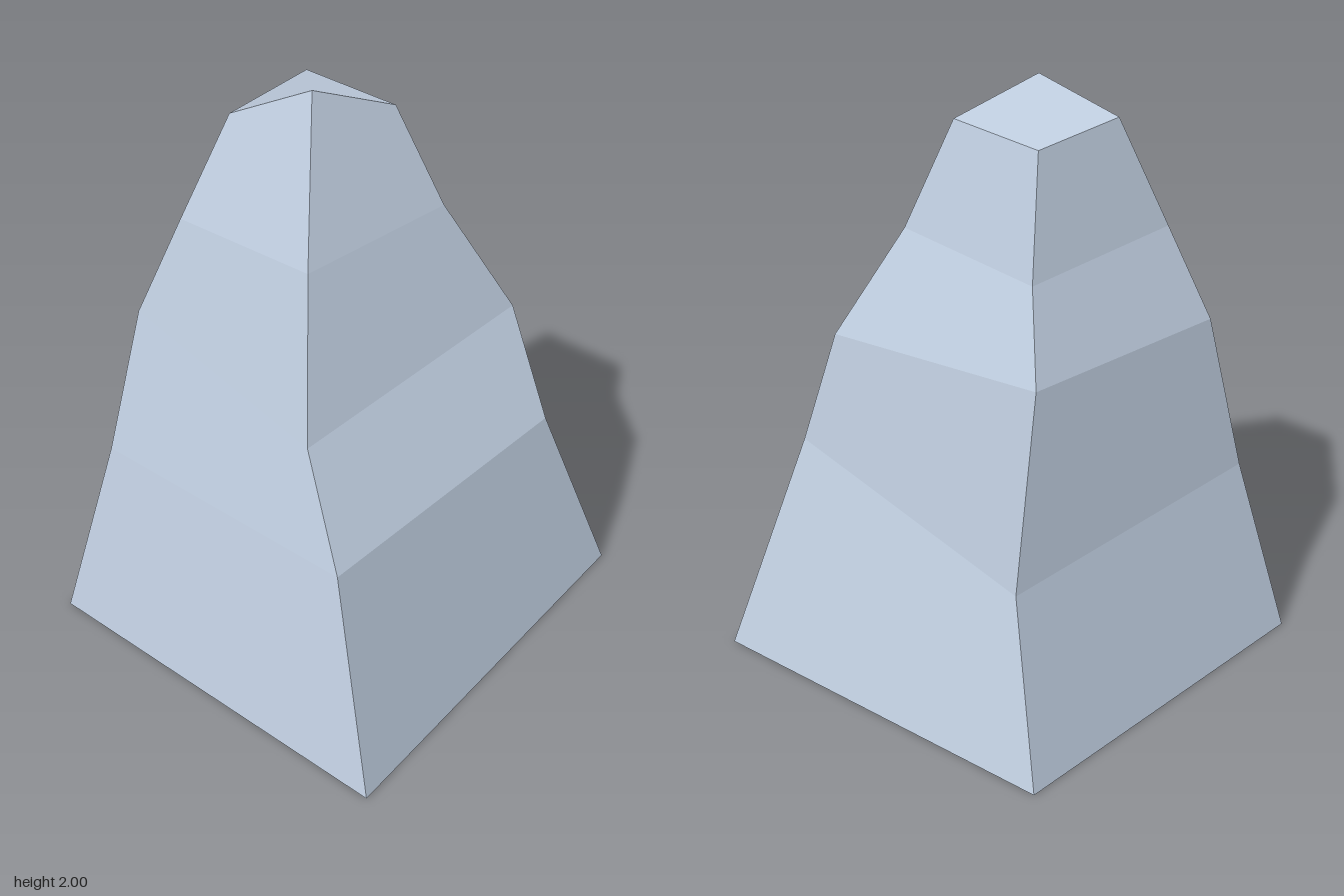
import * as THREE from 'three';

// Four-sided faceted rock: rings of corners from the ground up,
// ordered front right (-x), front left (+x), back left, back right.
const RINGS = [
  [[-0.68, 0, 0.665], [0.675, 0, 0.71], [0.6, 0, -0.715], [-0.68, 0, -0.58]],
  [[-0.56, 0.66, 0.525], [0.435, 0.68, 0.56], [0.5, 0.73, -0.44], [-0.495, 0.6, -0.47]],
  [[-0.475, 1.2, 0.44], [0.21, 0.985, 0.43], [0.375, 1.15, -0.395], [-0.46, 1.25, -0.35]],
  [[-0.375, 1.53, 0.333], [0.13, 1.535, 0.325], [0.2, 1.53, -0.245], [-0.32, 1.5, -0.22]],
  [[-0.26, 1.89, 0.22], [-0.03, 2, 0.11], [0.09, 1.89, -0.135], [-0.26, 1.89, -0.135]],
];

// Each four-cornered facet is shaded as one plane, using the cross product of its diagonals
function facets(quads) {
  const positions = [], normals = [];
  for (const quad of quads) {
    const [a, b, c, d] = quad.map((p) => new THREE.Vector3(...p));
    const normal = c.clone().sub(a).cross(d.clone().sub(b)).normalize();
    for (const p of [a, b, c, a, c, d]) {
      positions.push(...p);
      normals.push(...normal);
    }
  }
  const geometry = new THREE.BufferGeometry();
  geometry.setAttribute('position', new THREE.Float32BufferAttribute(positions, 3));
  geometry.setAttribute('normal', new THREE.Float32BufferAttribute(normals, 3));
  return geometry;
}

export function createModel() {
  const stone = new THREE.MeshStandardMaterial({ color: 0xbfcddf, side: THREE.DoubleSide });
  stone.name = 'paleStone';
  const group = new THREE.Group();
  group.name = 'rock';

  // Sides, open underneath
  const sides = [];
  for (let r = 0; r < RINGS.length - 1; r++) {
    const low = RINGS[r], high = RINGS[r + 1];
    for (let i = 0; i < 4; i++) {
      const j = (i + 1) % 4;
      sides.push([low[i], low[j], high[j], high[i]]);
    }
  }
  const body = new THREE.Mesh(facets(sides), stone);
  body.name = 'rockSides';

  // Sloping top rising to the peak, split along the ridge from the peak to the back
  const [a, b, c, d] = RINGS[RINGS.length - 1];
  const top = new THREE.Mesh(facets([[b, c, d, a]]), stone);
  top.name = 'rockTop';

  group.add(body, top);
  return group;
}
